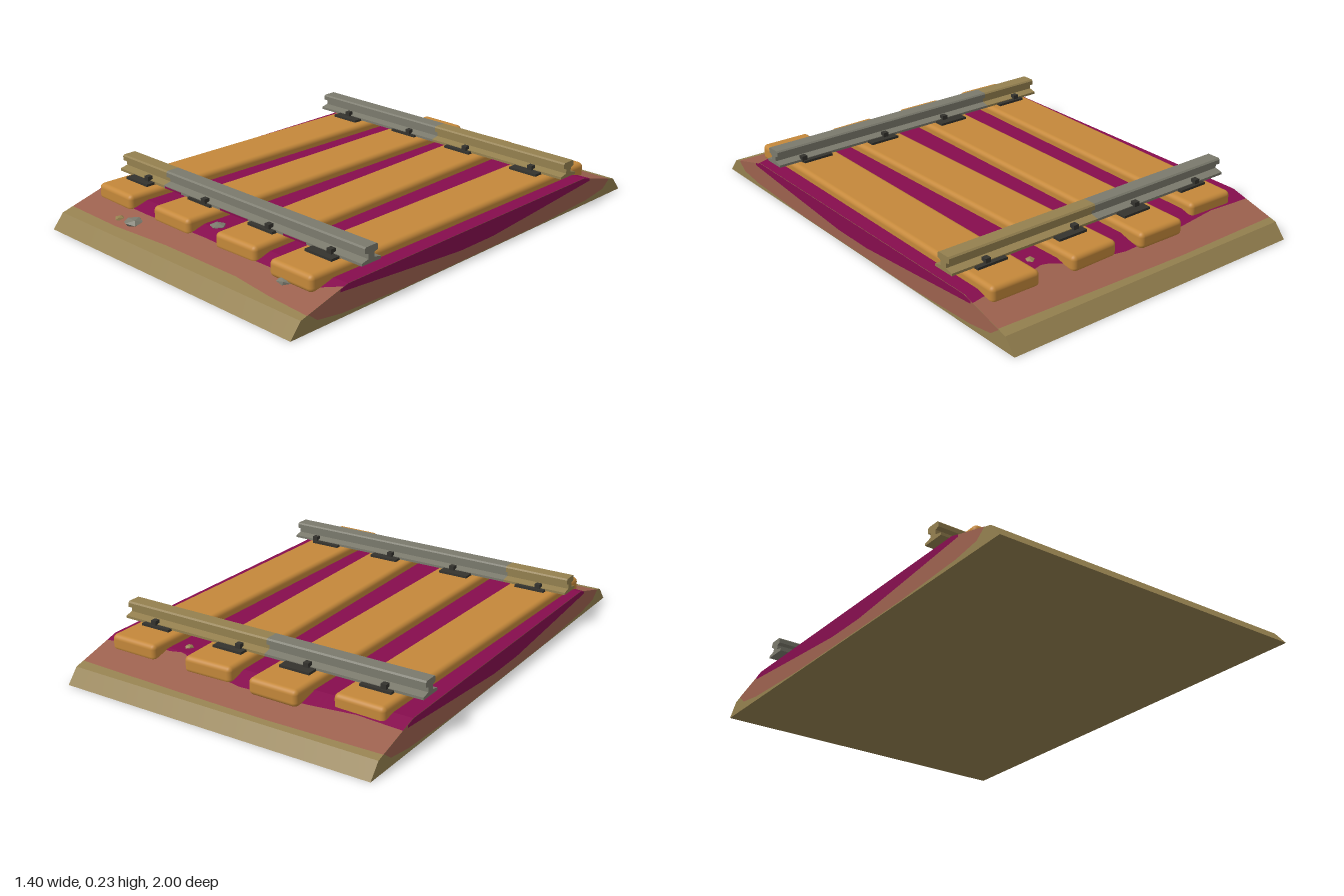
import * as THREE from 'three';
import { RoundedBoxGeometry } from 'three/addons/geometries/RoundedBoxGeometry.js';

const paint = (name, color) => Object.assign(new THREE.MeshStandardMaterial({ color }), { name });

// Bed cross-section: half width, shoulder and crown
const KINK = 0.72, CROWN = 0.123, HALF = 0.7;
function bedHeight(z) {
  const a = Math.abs(z);
  if (a <= KINK) return CROWN;
  if (a <= 0.95) return CROWN + (0.06 - CROWN) * (a - KINK) / (0.95 - KINK);
  return 0.06 * (1 - a) / 0.05;
}

// Piecewise linear line across x
function line(points) {
  return x => {
    for (let i = 1; i < points.length; i++) {
      const [x0, z0] = points[i - 1], [x1, z1] = points[i];
      if (x <= x1 + 1e-6) return z0 + (z1 - z0) * (x - x0) / (x1 - x0);
    }
    return points[points.length - 1][1];
  };
}

// Surface strip of the bed between two lines, back to front
function bedStrip(back, front) {
  const pos = [], n = 56;
  const put = (x, z) => pos.push(x, bedHeight(z), z);
  for (let i = 0; i < n; i++) {
    const a = -HALF + 2 * HALF * i / n, b = -HALF + 2 * HALF * (i + 1) / n;
    put(a, back(a)); put(a, front(a)); put(b, front(b));
    put(a, back(a)); put(b, front(b)); put(b, back(b));
  }
  const g = new THREE.BufferGeometry();
  g.setAttribute('position', new THREE.Float32BufferAttribute(pos, 3));
  g.computeVertexNormals();
  return g;
}

function polygon(pts) {
  return new THREE.Shape(pts.map(p => new THREE.Vector2(p[0], p[1])));
}

export function createModel() {
  const root = new THREE.Group();
  root.name = 'railTrack';
  const tan = paint('sandyGravel', 0x94804f);
  const brown = paint('brownGravel', 0x9c614e);
  const magenta = paint('magentaGravel', 0x860d4e);
  const wood = paint('orangeWood', 0xc4883a);
  const steel = paint('greySteel', 0x7b7a6d);
  const iron = paint('darkIron', 0x34332e);

  const add = (parent, name, geo, mat, x = 0, y = 0, z = 0) => {
    const m = new THREE.Mesh(geo, mat);
    m.name = name;
    m.position.set(x, y, z);
    parent.add(m);
    return m;
  };
  const group = name => {
    const g = new THREE.Group();
    g.name = name;
    root.add(g);
    return g;
  };

  // Gravel bed: coloured bands with wavy borders
  const bed = group('gravelBed');
  const at = z => () => z;
  const backTan = line([[-0.7, -0.918], [-0.2, -0.925], [0.2, -0.92], [0.7, -0.91]]);
  const backCore = line([[-0.7, -0.79], [-0.5, -0.78], [-0.3, -0.8], [0, -0.81], [0.2, -0.78],
    [0.28, -0.75], [0.34, -0.722], [0.4, -0.735], [0.5, -0.73], [0.6, -0.755], [0.7, -0.77]]);
  const frontCore = line([[-0.7, 0.76], [-0.6, 0.785], [-0.35, 0.79], [0, 0.782], [0.3, 0.79], [0.62, 0.79], [0.7, 0.74]]);
  const frontTan = line([[-0.7, 0.9], [-0.4, 0.905], [-0.1, 0.89], [0.3, 0.89], [0.5, 0.91], [0.7, 0.92]]);
  [
    ['backFoot', at(-1), at(-0.95), tan], ['backSandBand', at(-0.95), backTan, tan],
    ['backBrownBand', backTan, backCore, brown], ['backCore', backCore, at(-KINK), magenta],
    ['centreCore', at(-KINK), at(KINK), magenta], ['frontCore', at(KINK), frontCore, magenta],
    ['frontBrownBand', frontCore, frontTan, brown], ['frontSandBand', frontTan, at(0.95), tan],
    ['frontFoot', at(0.95), at(1), tan],
  ].forEach(([name, a, b, mat]) => add(bed, name, bedStrip(a, b), mat));
  add(bed, 'underside', new THREE.PlaneGeometry(2 * HALF, 2).rotateX(Math.PI / 2), tan);

  // Cut ends of the bed, layered from sand to core
  const mirrored = half => polygon([...half, ...half.slice().reverse().map(([z, y]) => [-z, y])]);
  const layers = [
    ['endSand', mirrored([[1, 0], [0.95, 0.06], [KINK, CROWN]]), tan],
    ['endBrown', mirrored([[0.4, 0.004], [0.75, 0.018], [0.87, 0.035], [0.915, bedHeight(0.915)], [KINK, CROWN]]), brown],
    ['endCore', mirrored([[0.1, 0.05], [0.4, 0.073], [0.76, bedHeight(0.76) - 0.01], [0.76, bedHeight(0.76)], [KINK, CROWN]]), magenta],
  ];
  for (const side of [1, -1]) {
    layers.forEach(([name, shape, mat], i) => {
      const end = add(bed, name, new THREE.ShapeGeometry(shape), mat, side * (HALF + i * 0.001));
      end.rotation.y = side * Math.PI / 2;
    });
  }

  // Sleepers: front centre x, back centre x, back z, front z
  const sleepers = group('sleepers');
  [
    [-0.545, -0.505, -0.775, 0.8], [-0.185, -0.168, -0.835, 0.8],
    [0.192, 0.155, -0.81, 0.8], [0.518, 0.53, -0.805, 0.828],
  ].forEach(([xf, xb, zb, zf]) => {
    const s = add(sleepers, 'sleeper', new RoundedBoxGeometry(0.222, 0.07, zf - zb, 3, 0.02), wood,
      (xf + xb) / 2, 0.125, (zb + zf) / 2);
    s.rotation.y = Math.atan2(xf - xb, zf - zb);
  });

  // Rails: I-shaped section, each with a rusty stretch
  const section = mirrored([
    [0.05, 0.163], [0.05, 0.173], [0.016, 0.181], [0.016, 0.2], [0.034, 0.206], [0.034, 0.224], [0.028, 0.23],
  ]);
  const rails = group('rails');
  const rail = (name, x0, x1, z, mat) => {
    const g = new THREE.ExtrudeGeometry(section, { depth: x1 - x0, bevelEnabled: false, steps: 1 });
    add(rails, name, g.rotateY(Math.PI / 2), mat, x0, 0, z);
  };
  rail('frontRailRust', -HALF, -0.41, 0.6, tan);
  rail('frontRail', -0.41, HALF, 0.6, steel);
  rail('backRail', -HALF, 0, -0.6, steel);
  rail('backRailRust', 0, HALF, -0.6, tan);
  for (const [x, w] of [[-0.35, 0.1], [0.02, 0.16], [0.36, 0.12]]) {
    add(rails, 'railFootStain', new THREE.BoxGeometry(w, 0.007, 0.004), magenta, x, 0.167, 0.65);
  }

  // Base plates (x, back z, front z) with a bolt on each side of the rail
  const fixings = group('fixings');
  const plates = [
    [-0.54, 0.53, 0.69, -0.575, -0.51], [-0.18, 0.505, 0.66, -0.155, -0.15],
    [0.19, 0.515, 0.67, 0.17, 0.22], [0.522, 0.53, 0.69, 0.585, 0.548],
    [-0.51, -0.67, -0.51, -0.54, -0.52], [-0.17, -0.695, -0.54, -0.2, -0.14],
    [0.155, -0.685, -0.53, 0.12, 0.19], [0.53, -0.67, -0.51, 0.545, 0.545],
  ];
  plates.forEach(([x, z0, z1, xBack, xFront]) => {
    add(fixings, 'basePlate', new THREE.BoxGeometry(0.137, 0.012, z1 - z0), iron, x, 0.164, (z0 + z1) / 2);
    const railZ = Math.sign(z0) * 0.6;
    for (const [bx, dz] of [[xBack, -0.05], [xFront, 0.05]]) {
      add(fixings, 'bolt', new THREE.BoxGeometry(0.024, 0.026, 0.024), iron, bx, 0.176, railZ + dz);
    }
  });

  // Loose stones
  const stones = group('stones');
  [
    [-0.355, 0.088, 0.85, 0.042, 0.018, steel], [-0.022, 0.12, 0.695, 0.036, 0.014, steel],
    [0.485, 0.096, 0.815, 0.036, 0.015, steel], [-0.435, 0.083, 0.858, 0.022, 0.012, tan],
    [0.355, 0.122, -0.67, 0.02, 0.012, tan],
  ].forEach(([x, y, z, r, h, mat], i) => {
    const g = new THREE.IcosahedronGeometry(1, 0).rotateX(i * 0.7 + 0.3).rotateY(i).scale(r, h, r);
    g.computeVertexNormals();
    add(stones, 'stone', g, mat, x, y, z);
  });

  return root;
}
